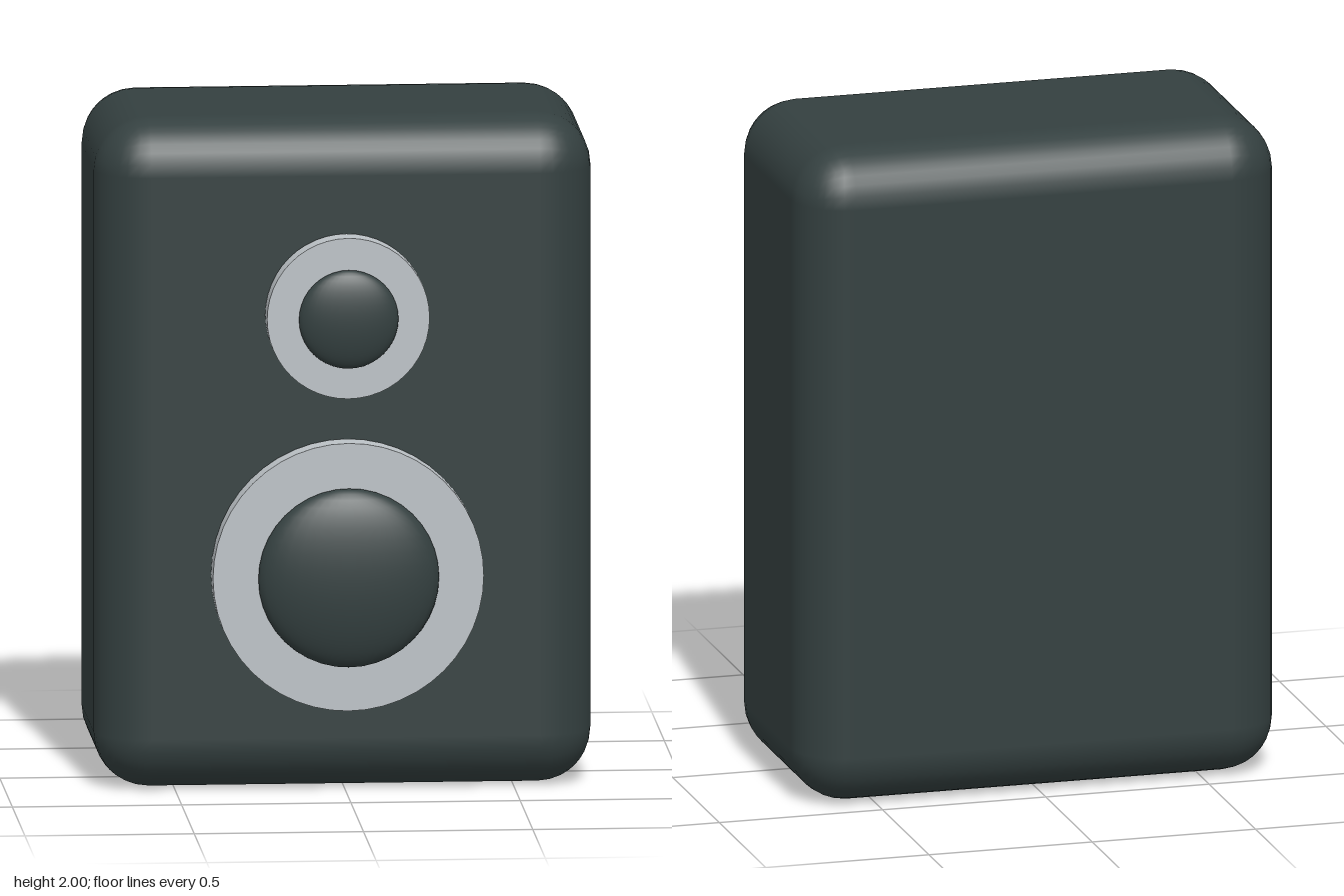
import * as THREE from 'three';
import { RoundedBoxGeometry } from 'three/addons/geometries/RoundedBoxGeometry.js';

export function createModel() {
  const model = new THREE.Group();
  model.name = 'speaker';

  const charcoal = new THREE.MeshStandardMaterial({ color: 0x344040 });
  charcoal.name = 'charcoal';
  const silver = new THREE.MeshStandardMaterial({ color: 0xbdc3c7 });
  silver.name = 'silver';

  // Cabinet with softly rounded edges
  const cabinet = new THREE.Mesh(new RoundedBoxGeometry(1.467, 2, 0.8, 4, 0.16), charcoal);
  cabinet.name = 'cabinet';
  cabinet.position.set(0, 1, -0.093);
  model.add(cabinet);

  // A driver is a flat disc with a shallow dome set into its face
  function addDriver(name, y, discRadius, domeRadius) {
    const driver = new THREE.Group();
    driver.name = name;
    driver.position.set(0, y, 0.36);

    const disc = new THREE.Mesh(new THREE.CylinderGeometry(discRadius, discRadius, 0.08, 48), silver);
    disc.name = name + 'Ring';
    disc.rotation.x = Math.PI / 2;

    const dome = new THREE.Mesh(new THREE.SphereGeometry(domeRadius, 32, 20), charcoal);
    dome.name = name + 'Dome';
    dome.scale.z = 0.3;
    dome.position.z = 0.053;

    driver.add(disc, dome);
    model.add(driver);
  }

  addDriver('tweeter', 1.43, 0.24, 0.147);
  addDriver('woofer', 0.657, 0.4, 0.267);

  return model;
}
